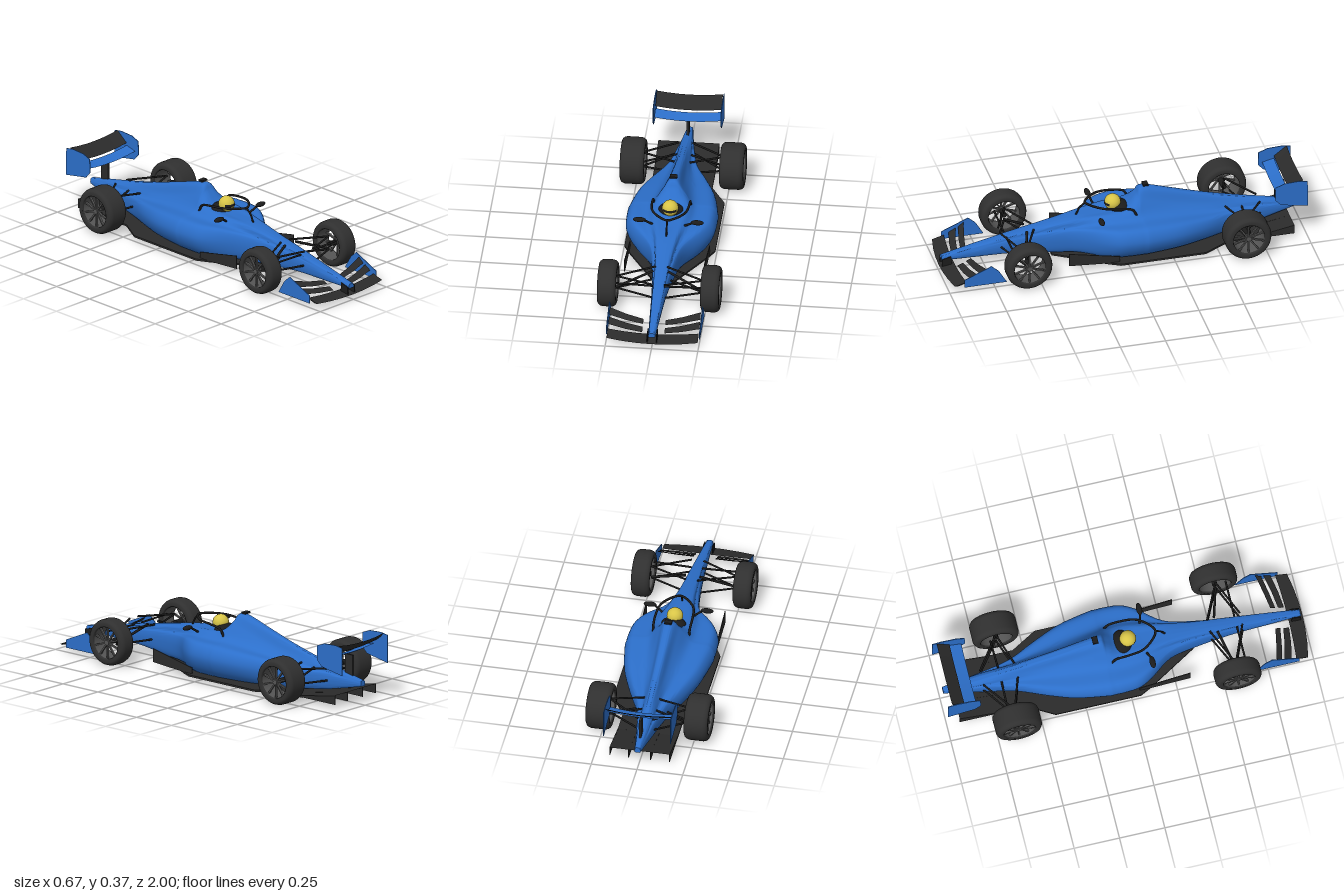
import * as THREE from 'three';
import { toCreasedNormals } from 'three/addons/utils/BufferGeometryUtils.js';

const V = (x, y, z) => new THREE.Vector3(x, y, z);
const material = (name, color, side = THREE.FrontSide) => {
  const m = new THREE.MeshStandardMaterial({ color, side });
  m.name = name;
  return m;
};

// Skin over closed rings of points; end rings are capped with a centre point.
function loft(rings) {
  const n = rings[0].length;
  const pos = [], idx = [];
  rings.forEach(r => r.forEach(p => pos.push(p.x, p.y, p.z)));
  for (let i = 0; i < rings.length - 1; i++) {
    for (let j = 0; j < n; j++) {
      const a = i * n + j, b = i * n + (j + 1) % n;
      idx.push(a, b, a + n, b, b + n, a + n);
    }
  }
  [0, rings.length - 1].forEach((i, end) => {
    const c = rings[i].reduce((s, p) => s.add(p), V(0, 0, 0)).divideScalar(n);
    const k = pos.length / 3;
    pos.push(c.x, c.y, c.z);
    for (let j = 0; j < n; j++) {
      const a = i * n + j, b = i * n + (j + 1) % n;
      if (end) idx.push(a, b, k); else idx.push(b, a, k);
    }
  });
  // Turn the faces outward if the enclosed volume is negative
  const at = i => V(pos[3 * i], pos[3 * i + 1], pos[3 * i + 2]);
  let volume = 0;
  for (let i = 0; i < idx.length; i += 3) volume += at(idx[i]).dot(at(idx[i + 1]).cross(at(idx[i + 2])));
  if (volume < 0) idx.reverse();
  const g = new THREE.BufferGeometry();
  g.setAttribute('position', new THREE.Float32BufferAttribute(pos, 3));
  g.setIndex(idx);
  g.computeVertexNormals();
  return g;
}

// Aerofoil: sections are [x, front z, front y, back z, back y]
function blade(sections) {
  const rings = sections.map(([x, zf, yf, zb, yb]) => {
    const at = (k, drop) => V(x, yf + (yb - yf) * k - drop, zf + (zb - zf) * k);
    return [at(0, 0), at(0.3, 0), at(0.7, 0), at(1, 0), at(0.7, 0.006), at(0.3, 0.006)];
  });
  return toCreasedNormals(loft(rings), 0.6);
}

// Thin upright plate from [z, y] corners, standing at x
function plate(corners, x, t = 0.004) {
  const s = new THREE.Shape(corners.map(([z, y]) => new THREE.Vector2(-z, y)));
  const g = new THREE.ExtrudeGeometry(s, { depth: t, bevelEnabled: false });
  return g.translate(0, 0, -t / 2).rotateY(Math.PI / 2).translate(x, 0, 0);
}

function bodyGeometry() {
  // z, top y, shoulder y and half width, sidepod y and half width, bottom y
  const stations = [
    [0.985, 0.088, 0.082, 0.016, 0.075, 0.018, 0.062],
    [0.85, 0.115, 0.11, 0.021, 0.1, 0.025, 0.06],
    [0.6, 0.165, 0.16, 0.031, 0.14, 0.038, 0.058],
    [0.4, 0.203, 0.195, 0.04, 0.165, 0.058, 0.04],
    [0.25, 0.227, 0.22, 0.055, 0.18, 0.092, 0.035],
    [0.13, 0.232, 0.235, 0.07, 0.2, 0.178, 0.032],
    [0.05, 0.24, 0.242, 0.078, 0.204, 0.219, 0.032],
    [-0.03, 0.258, 0.25, 0.08, 0.204, 0.228, 0.032],
    [-0.09, 0.32, 0.278, 0.07, 0.202, 0.228, 0.032],
    [-0.13, 0.356, 0.29, 0.058, 0.2, 0.226, 0.032],
    [-0.3, 0.308, 0.24, 0.048, 0.185, 0.195, 0.032],
    [-0.45, 0.262, 0.205, 0.041, 0.165, 0.141, 0.032],
    [-0.6, 0.222, 0.182, 0.034, 0.15, 0.078, 0.035],
    [-0.78, 0.178, 0.162, 0.03, 0.142, 0.043, 0.058],
    [-0.985, 0.135, 0.13, 0.014, 0.121, 0.016, 0.103]
  ];
  const smooth = (a, b, c, d, t) =>
    0.5 * (2 * b + (c - a) * t + (2 * a - 5 * b + 4 * c - d) * t * t + (3 * b - a - 3 * c + d) * t * t * t);
  const rings = [], steps = 4, last = stations.length - 1;
  for (let i = 0; i <= last * steps; i++) {
    const k = Math.min(Math.floor(i / steps), last - 1), t = i / steps - k;
    const before = stations[Math.max(k - 1, 0)], after = stations[Math.min(k + 2, last)];
    const [z, top, ys, ws, yp, wp, yb] = stations[k].map((v, c) => smooth(before[c], v, stations[k + 1][c], after[c], t));
    const half = new THREE.CatmullRomCurve3([
      V(0, top, z), V(ws * 0.4, top - (top - ys) * 0.12, z), V(ws, ys, z),
      V(ws + (wp - ws) * 0.32, yp + (ys - yp) * 0.2, z), V(wp * 0.95, yp, z),
      V(wp * 1.07, yb + (yp - yb) * 0.58, z), V(wp * 0.8, yb, z), V(0, yb, z)
    ]).getPoints(42);
    half.forEach(p => { p.y = Math.max(p.y, yb); });
    rings.push([...half, ...half.slice(1, -1).reverse().map(p => V(-p.x, p.y, p.z))]);
  }
  return toCreasedNormals(loft(rings), 0.9);
}

export function createModel() {
  const blue = material('blue paint', 0x2c6fca);
  const carbon = material('carbon black', 0x2b2b2b);
  const black = material('arm black', 0x1c1c1c);
  const rubber = material('tyre rubber', 0x303030);
  const metal = material('rim grey', 0x555555, THREE.DoubleSide);
  const yellow = material('helmet yellow', 0xd8c548);

  const car = new THREE.Group();
  car.name = 'racingCar';
  const add = (name, geometry, mat, parent = car) => {
    const m = new THREE.Mesh(geometry, mat);
    m.name = name;
    parent.add(m);
    return m;
  };
  const tube = (name, pts, r) =>
    add(name, new THREE.TubeGeometry(new THREE.CatmullRomCurve3(pts), 48, r, 8), black);
  const rod = (name, a, b, r = 0.0055) => {
    const d = b.clone().sub(a);
    const m = add(name, new THREE.CylinderGeometry(r, r, d.length(), 8), black);
    m.position.copy(a).add(b).multiplyScalar(0.5);
    m.quaternion.setFromUnitVectors(V(0, 1, 0), d.normalize());
  };

  add('body', bodyGeometry(), blue);

  // Cockpit, driver and halo
  add('cockpit', new THREE.SphereGeometry(1, 32, 16).scale(0.068, 0.035, 0.055).translate(0, 0.241, 0), black);
  add('helmet', new THREE.SphereGeometry(0.044, 32, 24).translate(0, 0.276, 0.035), yellow);
  add('visor', new THREE.SphereGeometry(0.0455, 32, 8, 0.2 * Math.PI, 0.6 * Math.PI, 1.38, 0.32).translate(0, 0.276, 0.035), black);
  const arc = [V(0.098, 0.228, -0.075), V(0.1, 0.27, -0.05), V(0.1, 0.286, 0.02), V(0.088, 0.292, 0.1), V(0.04, 0.295, 0.165)];
  tube('halo', [...arc, V(0, 0.295, 0.188), ...arc.slice().reverse().map(p => V(-p.x, p.y, p.z))], 0.0065);
  tube('haloPillar', [V(0, 0.293, 0.186), V(0, 0.27, 0.215), V(0, 0.222, 0.24)], 0.005);
  add('roofCamera', new THREE.BoxGeometry(0.04, 0.009, 0.03).translate(0, 0.361, -0.145), black);

  // Floor and diffuser
  const half = [[0.05, 0.385], [0.215, 0.11], [0.245, 0.05], [0.245, -0.42], [0.165, -0.56], [0.165, -0.7]];
  const outline = [...half, ...half.slice().reverse().map(([x, z]) => [-x, z])];
  const floor = new THREE.Shape(outline.map(([x, z]) => new THREE.Vector2(x, -z)));
  add('floor', new THREE.ExtrudeGeometry(floor, { depth: 0.01, bevelEnabled: false }).rotateX(-Math.PI / 2).translate(0, 0.02, 0), carbon);
  add('diffuser', blade([-0.165, 0.165].map(x => [x, -0.69, 0.028, -0.93, 0.073])), carbon);
  for (const x of [-0.163, -0.06, 0.06, 0.163]) {
    add('diffuserStrake', plate([[-0.69, 0.022], [-0.93, 0.022], [-0.93, 0.073], [-0.69, 0.03]], x), carbon);
  }

  // Wings
  const span = [-0.178, -0.12, -0.06, 0, 0.06, 0.12, 0.178];
  const dip = x => 0.014 * (1 - (x / 0.178) ** 2);
  add('rearWingMain', blade(span.map(x => [x, -0.84, 0.276 - dip(x), -0.905, 0.292 - dip(x)])), blue);
  add('rearWingFlap', blade(span.map(x => [x, -0.905, 0.306 - dip(x), -0.975, 0.36 - dip(x)])), carbon);
  add('rearWingPylon', new THREE.BoxGeometry(0.012, 0.12, 0.055).translate(0, 0.203, -0.888), carbon);
  add('frontWingMain', blade([-0.245, -0.16, -0.08, 0, 0.08, 0.16, 0.245].map(x => {
    const k = (x / 0.245) ** 2;
    return [x, 0.998 - 0.027 * k, 0.028 + 0.006 * k, 0.918 - 0.012 * k, 0.04 + 0.012 * k];
  })), carbon);

  for (const s of [-1, 1]) {
    add('rearWingEndplate', plate([[-0.82, 0.337], [-0.87, 0.356], [-0.95, 0.36], [-0.998, 0.352], [-1, 0.198], [-0.85, 0.225], [-0.818, 0.26]], s * 0.183), blue);
    add('frontWingEndplate', plate([[0.92, 0.025], [0.92, 0.07], [0.77, 0.135], [0.73, 0.1], [0.685, 0.025]], s * 0.251), blue);
    add('frontWingLowerFlap', blade([[s * 0.06, 0.91, 0.044, 0.878, 0.057], [s * 0.15, 0.9, 0.052, 0.864, 0.068], [s * 0.245, 0.88, 0.064, 0.842, 0.086]]), carbon);
    add('frontWingUpperFlap', blade([[s * 0.06, 0.862, 0.066, 0.835, 0.08], [s * 0.15, 0.848, 0.075, 0.818, 0.094], [s * 0.245, 0.828, 0.09, 0.796, 0.117]]), carbon);
    add('noseStrut', plate([[0.985, 0.028], [0.985, 0.072], [0.935, 0.085], [0.93, 0.03]], s * 0.025, 0.005), black);
    add('bargeBoard', plate([[0.33, 0.045], [0.33, 0.12], [0.05, 0.062], [0.05, 0.024]], s * 0.215), carbon);

    // Mirrors
    add('mirror', new THREE.SphereGeometry(1, 20, 12).scale(0.035, 0.013, 0.016).translate(s * 0.156, 0.256, 0.135), black);
    rod('mirrorStalk', V(s * 0.13, 0.252, 0.135), V(s * 0.085, 0.222, 0.12), 0.006);

    // Suspension: wishbones in V pairs from each upright, then push rods and track rods
    const wishbones = [
      [0.235, 0.175, 0.575, 0.032, 0.188, 0.48, 0.66], [0.235, 0.1, 0.575, 0.038, 0.108, 0.48, 0.66],
      [0.22, 0.18, -0.64, 0.04, 0.17, -0.77, -0.58], [0.22, 0.09, -0.64, 0.045, 0.105, -0.77, -0.58]
    ];
    for (const [ax, ay, az, bx, by, ...ends] of wishbones) {
      for (const bz of ends) rod('wishbone', V(s * ax, ay, az), V(s * bx, by, bz));
    }
    rod('frontPushRod', V(s * 0.235, 0.105, 0.575), V(s * 0.04, 0.185, 0.52), 0.007);
    rod('trackRod', V(s * 0.235, 0.165, 0.63), V(s * 0.03, 0.16, 0.63));
    rod('rearPushRod', V(s * 0.22, 0.1, -0.67), V(s * 0.04, 0.16, -0.67));

    // Wheels
    for (const [label, x, z, w] of [['frontWheel', 0.278, 0.573, 0.1], ['rearWheel', 0.268, -0.638, 0.13]]) {
      const wheel = new THREE.Group();
      wheel.name = label;
      const h = w / 2;
      const profile = [[0.086, -h + 0.01], [0.088, -h + 0.002], [0.092, -h], [0.108, -h], [0.116, -h + 0.004], [0.123, -h + 0.013], [0.127, -h + 0.026]];
      const points = [...profile, ...profile.slice().reverse().map(([r, y]) => [r, -y])].map(([r, y]) => new THREE.Vector2(r, y));
      add('tyre', new THREE.LatheGeometry(points, 48), rubber, wheel);
      add('rimBarrel', new THREE.CylinderGeometry(0.087, 0.087, w - 0.012, 48, 1, true), metal, wheel);
      add('hub', new THREE.CylinderGeometry(0.014, 0.018, 0.03, 20).translate(0, h - 0.026, 0), metal, wheel);
      for (let i = 0; i < 10; i++) {
        add('spoke', new THREE.BoxGeometry(0.074, 0.012, 0.008).translate(0.05, h - 0.022, 0).rotateY(i * Math.PI / 5), metal, wheel);
      }
      add('axle', new THREE.CylinderGeometry(0.014, 0.014, w * 0.6, 16).translate(0, -w * 0.1, 0), black, wheel);
      wheel.rotation.z = -s * Math.PI / 2;
      wheel.position.set(s * x, 0.127, z);
      car.add(wheel);
    }
  }
  return car;
}
